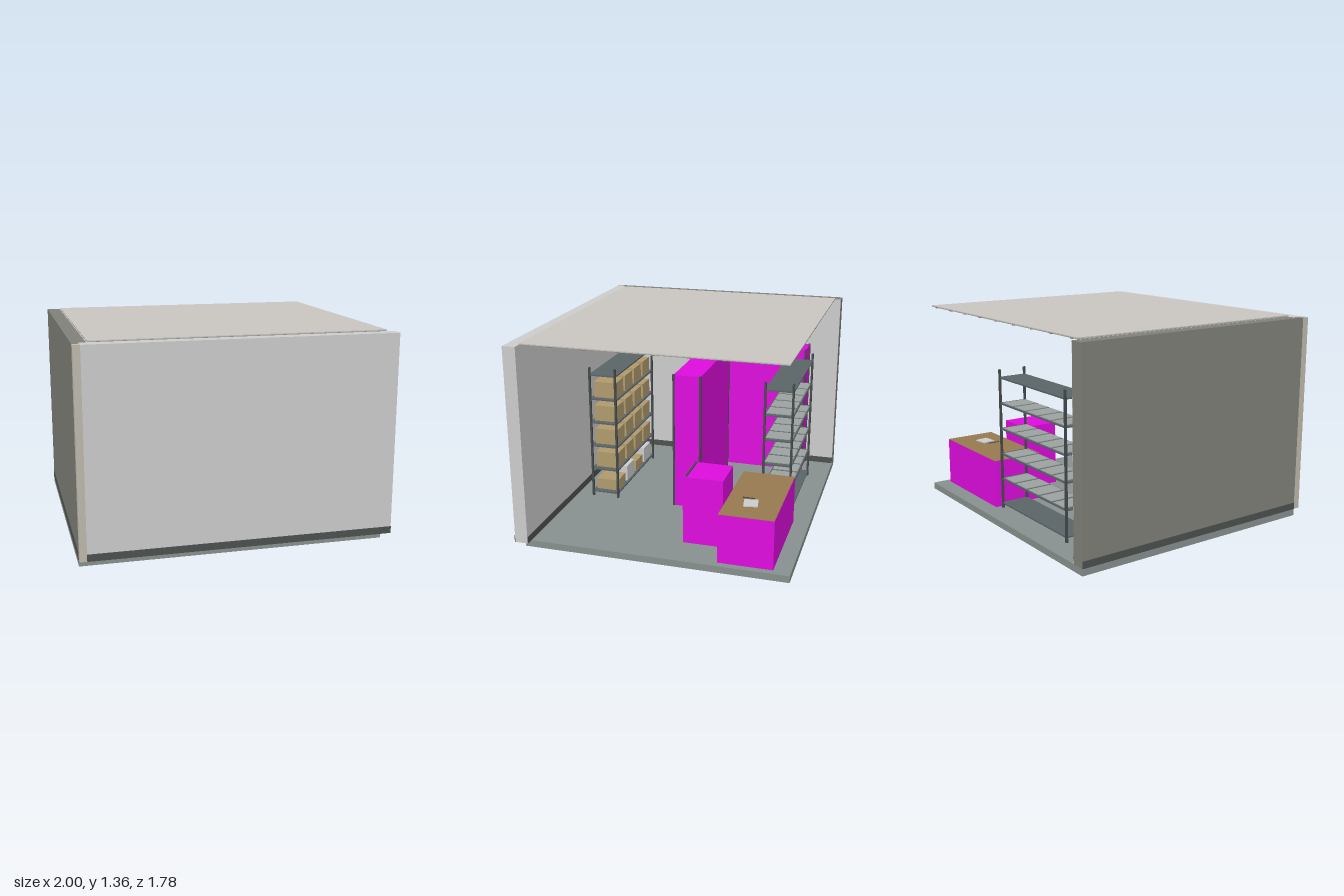
import * as THREE from 'three';

const mats = {};
const mat = (color) => (mats[color] ??= new THREE.MeshStandardMaterial({ color }));

const WALL = 0xc8cac6, DARKWALL = 0x80807a, FLOOR = 0x87908e, SKIRT = 0x4c504f;
const STEEL = 0x44494b, SHELF = 0x5a6366, TAN = 0xb09a6c, PINK = 0xdd0cdd;
const ROOF = 0xc8c5c0, TILE = 0x9c9994, GRID = 0x77756f, SHEET = 0x9aa19f;

export function createModel() {
  const root = new THREE.Group();

  // Box given by its lower and upper limits on each axis
  function box(parent, name, color, x0, x1, y0, y1, z0, z1) {
    const mesh = new THREE.Mesh(new THREE.BoxGeometry(x1 - x0, y1 - y0, z1 - z0), mat(color));
    mesh.position.set((x0 + x1) / 2, (y0 + y1) / 2, (z0 + z1) / 2);
    mesh.name = name;
    parent.add(mesh);
    return mesh;
  }
  function group(name) {
    const g = new THREE.Group();
    g.name = name;
    root.add(g);
    return g;
  }

  // Shell: floor, two walls, corner filler and skirting
  const shell = group('roomShell');
  box(shell, 'floor', FLOOR, -1, 0.95, 0, 0.045, -0.89, 0.84);
  box(shell, 'frontWall', WALL, -0.955, 1, 0.045, 1.345, 0.8, 0.886);
  box(shell, 'sideWall', DARKWALL, -1, -0.912, 0.045, 1.345, -0.89, 0.84);
  box(shell, 'sideWallLining', WALL, -0.912, -0.908, 0.045, 1.345, -0.888, 0.8);
  box(shell, 'cornerFiller', 0xbfb9ad, -1, -0.955, 0.045, 1.345, 0.84, 0.886);
  box(shell, 'outerFrontSkirting', SKIRT, -0.955, 1, 0.045, 0.09, 0.886, 0.89);
  box(shell, 'innerFrontSkirting', SKIRT, -0.908, 0.998, 0.045, 0.09, 0.796, 0.8);
  box(shell, 'outerSideSkirting', SKIRT, -1.003, -1, 0.045, 0.09, -0.89, 0.84);
  box(shell, 'innerSideSkirting', SKIRT, -0.908, -0.904, 0.045, 0.09, -0.888, 0.796);

  // Ceiling with tile grid and two light panels
  const ceiling = group('ceiling');
  box(ceiling, 'roofPanel', ROOF, -0.908, 0.95, 1.349, 1.355, -0.847, 0.8);
  box(ceiling, 'ceilingTiles', TILE, -0.907, 0.949, 1.345, 1.349, -0.846, 0.799);
  const pitch = 0.215;
  for (let x = -0.84; x < 0.95; x += pitch)
    box(ceiling, 'gridBar', GRID, x - 0.011, x + 0.011, 1.341, 1.345, -0.846, 0.799);
  for (let z = -0.69; z < 0.8; z += pitch)
    box(ceiling, 'gridBar', GRID, -0.907, 0.949, 1.342, 1.345, z - 0.011, z + 0.011);
  for (const z of [0.32, -0.37])
    box(ceiling, 'lightPanel', 0xa8a398, -0.2, 0.23, 1.334, 1.345, z - 0.108, z + 0.108);

  // Four-post rack, length along its own x, centred on the origin
  const L = 0.4, D = 0.1, P = 0.007;
  const levels = [0.08, 0.253, 0.427, 0.6, 0.773, 0.947];
  function rack(name, x, z, turn = 0) {
    const g = group(name);
    g.position.set(x, 0, z);
    g.rotation.y = turn;
    for (const sx of [-1, 1]) for (const sz of [-1, 1]) {
      const px = sx * (L - P), pz = sz * (D - P);
      box(g, 'post', STEEL, px - P, px + P, 0.045, 1, pz - P, pz + P);
    }
    return g;
  }
  function addShelves(g) {
    for (const y of levels)
      box(g, 'shelf', SHELF, -L + 0.004, L - 0.004, y - 0.006, y + 0.004, -D + 0.003, D - 0.003);
  }

  // Carton rack against the front wall
  const cartonRack = rack('cartonRack', -0.22, 0.585);
  addShelves(cartonRack);
  levels.slice(0, 5).forEach((y, row) => {
    for (let i = 0; i < 4; i++) {
      const x = 0.282 - i * 0.188;
      const pale = row === 0 && i % 2 === 1;
      const h = row > 0 ? 0.116 : pale ? 0.117 : 0.082;
      box(cartonRack, 'carton', pale ? WALL : TAN, x - 0.075, x + 0.075, y + 0.004, y + h, -0.083, 0.078);
    }
  });

  // Open rack at the back with flat sheets on the middle shelves
  const sheetRack = rack('sheetRack', -0.22, -0.65);
  addShelves(sheetRack);
  for (const y of levels.slice(1, 5))
    for (let i = 0; i < 5; i++) {
      const x = -0.304 + i * 0.152;
      box(sheetRack, 'sheet', SHEET, x - 0.064, x + 0.064, y + 0.004, y + 0.008, -0.088, 0.088);
    }

  // Two closed racks: one in the middle, one along the side wall
  const closedRacks = [
    rack('middleClosedRack', -0.22, -0.022),
    rack('sideClosedRack', -0.8, -0.282, Math.PI / 2),
  ];
  for (const g of closedRacks)
    box(g, 'closedBody', PINK, -L + 0.005, L - 0.005, 0.045, 0.996, -D + 0.005, D - 0.005);

  // Desk with wooden top, paper pad and pen
  const desk = group('desk');
  box(desk, 'deskBody', PINK, 0.205, 0.905, 0.045, 0.369, -0.78, -0.43);
  box(desk, 'deskTop', 0x97794f, 0.206, 0.904, 0.369, 0.3715, -0.779, -0.431);
  const pad = box(desk, 'paperPad', WALL, 0.65, 0.75, 0.3715, 0.378, -0.635, -0.545);
  pad.rotation.y = 0.15;
  box(desk, 'pen', STEEL, 0.62, 0.628, 0.3715, 0.376, -0.6, -0.52);

  // Low cabinet beside the desk
  const cabinet = group('cabinet');
  box(cabinet, 'cabinetBody', PINK, 0.44, 0.703, 0.045, 0.5, -0.412, -0.15);
  box(cabinet, 'lidStrip', STEEL, 0.45, 0.69, 0.5, 0.505, -0.175, -0.16);
  box(cabinet, 'handle', PINK, 0.703, 0.709, 0.36, 0.375, -0.25, -0.21);

  return root;
}
